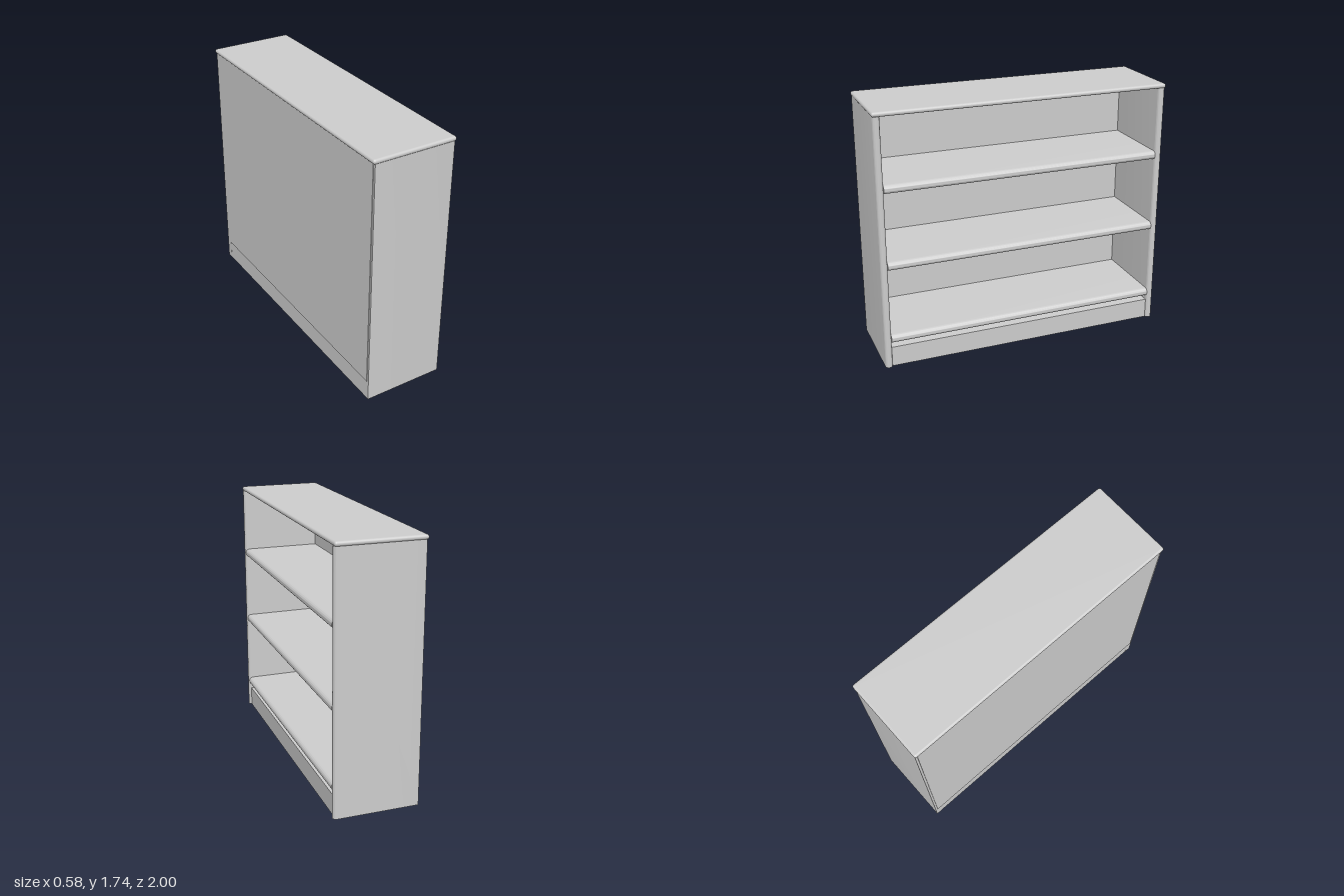
import * as THREE from 'three';
import { toCreasedNormals } from 'three/addons/utils/BufferGeometryUtils.js';
import { RoundedBoxGeometry } from 'three/addons/geometries/RoundedBoxGeometry.js';

const FRONT = 0.289, BACK = -0.281, HALF = 0.947;

// Slab with a half-round edge at +x: profile in xy, extruded along z
function bullnose(x0, x1, thick, length) {
  const r = thick / 2;
  const s = new THREE.Shape();
  s.moveTo(x0, -r);
  s.lineTo(x1 - r, -r);
  s.absarc(x1 - r, 0, r, -Math.PI / 2, Math.PI / 2, false);
  s.lineTo(x0, r);
  s.closePath();
  const g = new THREE.ExtrudeGeometry(s, { depth: length, bevelEnabled: false, curveSegments: 12 });
  return toCreasedNormals(g, 0.6);
}

export function createModel() {
  const model = new THREE.Group();
  model.name = 'bookcase';
  const paint = new THREE.MeshStandardMaterial({ color: 0xcccccc });
  paint.name = 'light grey';

  const add = (name, geometry, x = 0, y = 0, z = 0) => {
    const mesh = new THREE.Mesh(geometry, paint);
    mesh.name = name;
    mesh.position.set(x, y, z);
    model.add(mesh);
    return mesh;
  };
  const board = (name, x0, x1, y0, y1, half) =>
    add(name, new THREE.BoxGeometry(x1 - x0, y1 - y0, half * 2), (x0 + x1) / 2, (y0 + y1) / 2, 0);

  // Upright end panels, rounded on the open side
  for (const side of [1, -1]) {
    const panel = add(side > 0 ? 'leftEndPanel' : 'rightEndPanel',
      bullnose(BACK, FRONT, 0.048, 1.71), 0, 0, side * 0.971);
    panel.rotation.x = -Math.PI / 2;
  }

  // Top board, rounded all round
  add('topBoard', new RoundedBoxGeometry(0.583, 0.031, 2, 4, 0.015), -0.0025, 1.7225, 0);

  // Three thick shelves
  [0.2, 0.72, 1.24].forEach((y, i) =>
    add('shelf' + (i + 1), bullnose(-0.272, FRONT - 0.002, 0.057, HALF * 2), 0, y, -HALF));

  // Back panel and hollow plinth
  board('backPanel', -0.285, -0.268, 0.141, 1.71, 0.98);
  board('backKickboard', BACK + 0.001, -0.262, 0, 0.139, HALF);
  board('frontKickboard', 0.252, 0.272, 0, 0.139, HALF);
  board('plinthFloor', -0.262, 0.252, 0.12, 0.139, HALF);

  return model;
}
